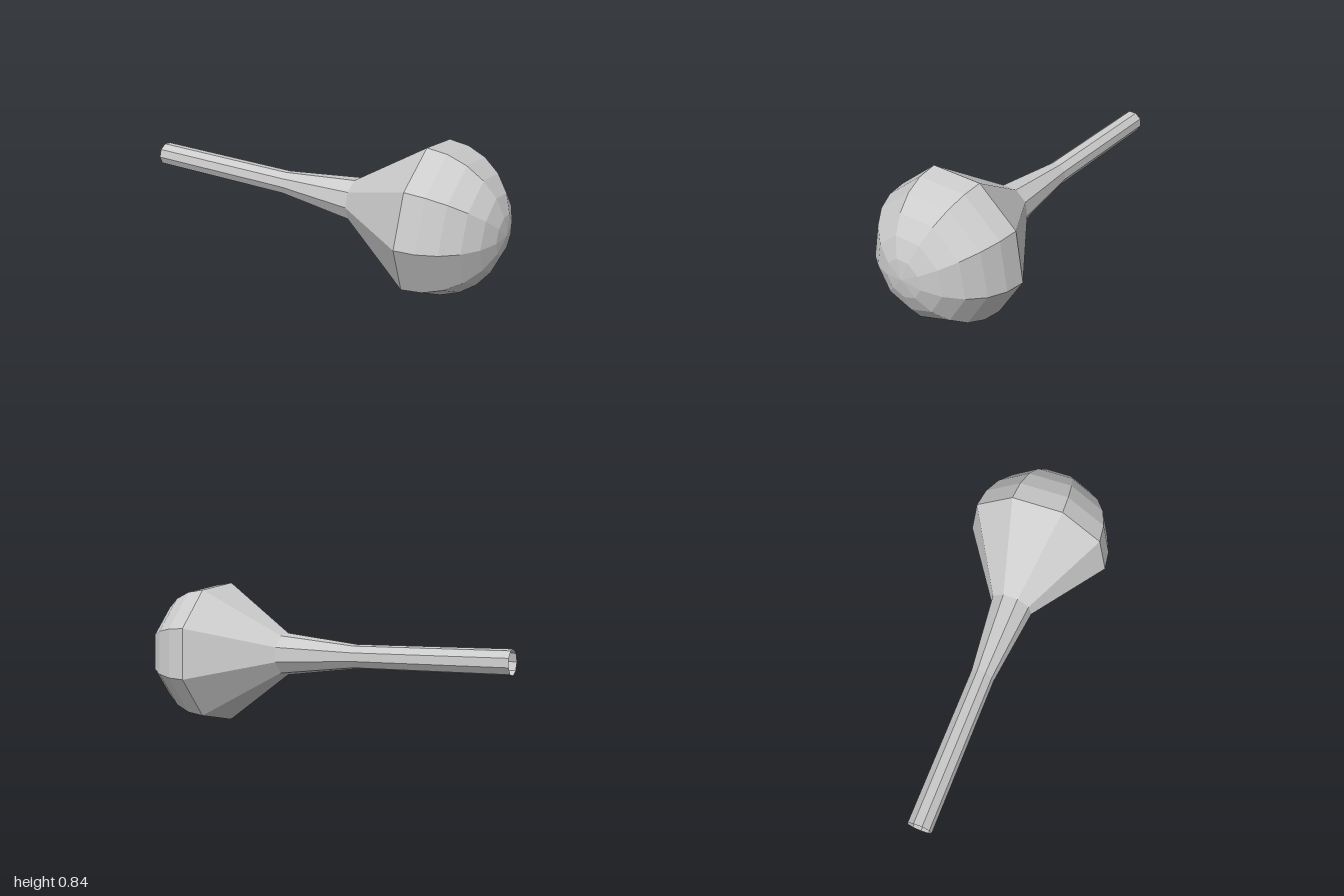
import * as THREE from 'three';

const SIDES = 9;
const HEAD_RADIUS = 0.43;

// Faceted part turned about the shared long axis
function turned(name, profile, material) {
  const points = profile.map(([r, y]) => new THREE.Vector2(r, y));
  const mesh = new THREE.Mesh(new THREE.LatheGeometry(points, SIDES), material);
  mesh.name = name;
  return mesh;
}

export function createModel() {
  const material = new THREE.MeshStandardMaterial({
    color: 0xcccccc, flatShading: true, side: THREE.DoubleSide,
  });
  const shaker = new THREE.Group();
  shaker.name = 'shaker';

  // Slim open-ended handle flaring to the neck
  shaker.add(turned('handle', [[0.07, -1.81], [0.07, -0.91], [0.125, -0.45]], material));

  // Cone widening from the neck to the rim
  shaker.add(turned('shoulder', [[0.125, -0.45], [HEAD_RADIUS, 0]], material));

  // Half-sphere head
  const dome = [];
  for (let i = 0; i <= 6; i++) {
    const a = (i / 6) * Math.PI / 2;
    dome.push([i === 6 ? 0 : HEAD_RADIUS * Math.cos(a), HEAD_RADIUS * Math.sin(a)]);
  }
  shaker.add(turned('head', dome, material));

  // Lay the long axis down diagonally, one rim corner near the top
  const axis = new THREE.Vector3(0.53, -0.05, 0.85).normalize();
  const corner = new THREE.Vector3(-0.09, 0.42, 0.08).projectOnPlane(axis).normalize();
  const across = new THREE.Vector3().crossVectors(axis, corner);
  shaker.quaternion.setFromRotationMatrix(new THREE.Matrix4().makeBasis(across, axis, corner));
  shaker.position.set(0.29, 0.42, 0.57);

  const model = new THREE.Group();
  model.add(shaker);
  return model;
}
